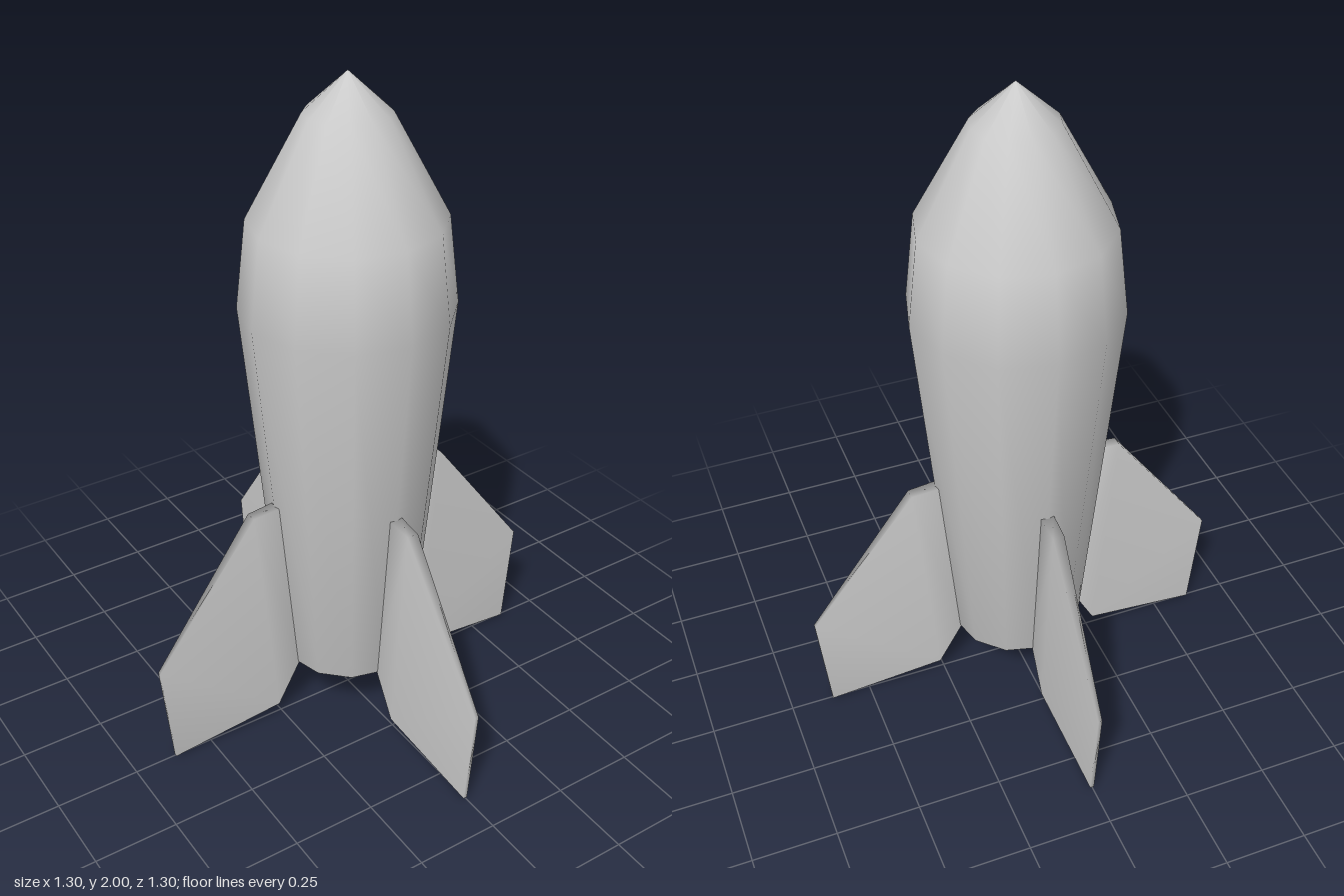
import * as THREE from 'three';

const material = new THREE.MeshStandardMaterial({ color: 0xcccccc });

// Fin outline, counter-clockwise: [distance from axis, height, half thickness]
const FIN = [
  [0.19, 0.18, 0.02],
  [0.265, 0.042, 0.017],
  [0.62, 0, 0.006],
  [0.652, 0.33, 0.006],
  [0.33, 0.757, 0.017],
  [0.24, 0.765, 0.02],
];

// Tapered slab: two mirrored sides joined by a rim, with shared smooth normals
function finGeometry() {
  const n = FIN.length;
  const positions = [];
  for (const side of [1, -1]) {
    for (const [r, y, t] of FIN) positions.push(r, y, side * t);
  }
  const index = [];
  for (const [a, b, c] of [[0, 1, 4], [0, 4, 5], [1, 2, 3], [1, 3, 4]]) {
    index.push(a, b, c, a + n, c + n, b + n);
  }
  for (let i = 0; i < n; i++) {
    const j = (i + 1) % n;
    index.push(i, i + n, j + n, i, j + n, j);
  }
  const geometry = new THREE.BufferGeometry();
  geometry.setAttribute('position', new THREE.Float32BufferAttribute(positions, 3));
  geometry.setIndex(index);
  geometry.computeVertexNormals();
  return geometry;
}

export function createModel() {
  const model = new THREE.Group();
  model.name = 'rocket';

  // Twelve-sided hull with a closed base
  const profile = [
    [0, 0.18], [0.2, 0.18], [0.306, 1.34], [0.276, 1.6], [0.12, 1.89], [0, 2],
  ].map(([r, y]) => new THREE.Vector2(r, y));
  const hull = new THREE.Mesh(new THREE.LatheGeometry(profile, 12), material);
  hull.name = 'hull';
  model.add(hull);

  // Four fins around the hull
  const geometry = finGeometry();
  ['leftFin', 'backFin', 'rightFin', 'frontFin'].forEach((name, i) => {
    const fin = new THREE.Mesh(geometry, material);
    fin.name = name;
    fin.rotation.y = (i * Math.PI) / 2;
    model.add(fin);
  });

  return model;
}
